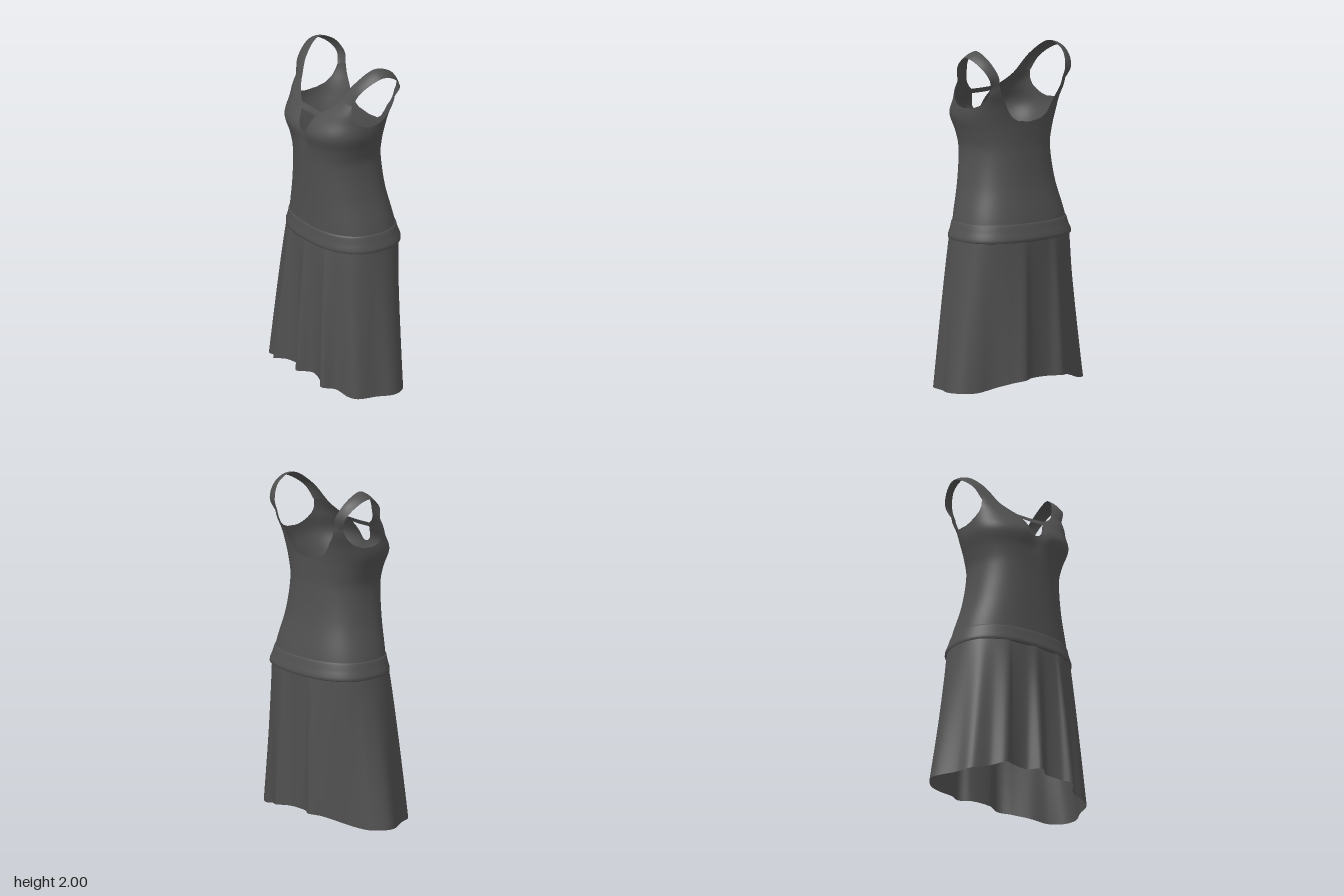
import * as THREE from 'three';

const fabric = new THREE.MeshStandardMaterial({ color: 0x505050, side: THREE.DoubleSide });
fabric.name = 'charcoal fabric';
const V = (x, y, z) => new THREE.Vector3(x, y, z);
const { lerp, smoothstep } = THREE.MathUtils;

// smooth cloth through rows of points, listed bottom to top
function cloth(name, rows, closed = false) {
  const n = rows[0].length, pos = [], index = [];
  rows.forEach(row => row.forEach(p => pos.push(p.x, p.y, p.z)));
  for (let j = 0; j < rows.length - 1; j++) {
    for (let i = 0; i < (closed ? n : n - 1); i++) {
      const a = j * n + i, b = j * n + (i + 1) % n;
      index.push(a, b, b + n, a, b + n, a + n);
    }
  }
  const g = new THREE.BufferGeometry();
  g.setAttribute('position', new THREE.Float32BufferAttribute(pos, 3));
  g.setIndex(index);
  g.computeVertexNormals();
  const mesh = new THREE.Mesh(g, fabric);
  mesh.name = name;
  return mesh;
}

// body sections: height, half width, front z, back z, squareness
const SECTIONS = [
  [0.85, 0.375, 0.235, -0.283, 2.4], [1.0, 0.35, 0.235, -0.262, 2.4],
  [1.2, 0.297, 0.24, -0.22, 2.4], [1.4, 0.272, 0.25, -0.2, 2.4],
  [1.5, 0.292, 0.263, -0.2, 2.4], [1.6, 0.323, 0.283, -0.205, 2.5],
  [1.7, 0.323, 0.222, -0.217, 3], [1.8, 0.312, 0.148, -0.223, 5], [1.9, 0.305, 0.1, -0.22, 5],
];
function section(y) {
  const last = SECTIONS.length - 1;
  let k = 0;
  while (k < last - 1 && y > SECTIONS[k + 1][0]) k++;
  const at = i => SECTIONS[Math.max(0, Math.min(last, i))];
  const p = at(k), q = at(k + 1), h = q[0] - p[0];
  const t = Math.max(0, Math.min(1, (y - p[0]) / h));
  const slope = (i, c) => (at(i + 1)[c] - at(i - 1)[c]) / (at(i + 1)[0] - at(i - 1)[0]);
  return [1, 2, 3, 4].map(c => {
    const m0 = slope(k, c) * h, m1 = slope(k + 1, c) * h, d = q[c] - p[c];
    return p[c] + t * m0 + t * t * (3 * d - 2 * m0 - m1) + t * t * t * (m0 + m1 - 2 * d);
  });
}

// point on the body; angle 0 is the front, positive towards +x
const CX = 0.025;
function body(angle, y, out = 0) {
  const [a, zf, zb, n] = section(y);
  const s = Math.sin(angle), c = Math.cos(angle);
  const x = Math.sign(s) * Math.abs(s) ** (2 / n) * (a + out);
  let z = (zf + zb) / 2 + Math.sign(c) * Math.abs(c) ** (2 / n) * ((zf - zb) / 2 + out);
  // shallow hollow between the busts
  if (c > 0) z -= 0.022 * Math.exp(-((x / 0.06) ** 2) - ((y - 1.6) / 0.1) ** 2);
  return V(CX + x, y, z);
}

// upper edge of the bodice: keyhole, neckline, armhole and low back
const FRONT = [0.3, 0.9], BACK = [2.58, 2.18];
const EDGE = [
  [0, 1.585], [0.03, 1.588], [0.06, 1.605], [0.115, 1.692], [0.12, 1.718], [0.15, 1.73],
  [0.21, 1.763], [0.3, 1.81], [0.9, 1.8], [1.03, 1.752], [1.17, 1.713], [1.32, 1.687],
  [1.45, 1.67], [1.58, 1.658], [1.8, 1.665], [1.98, 1.685], [2.1, 1.72], [2.18, 1.79],
  [2.58, 1.8], [2.63, 1.73], [2.7, 1.66], [2.8, 1.61], [2.92, 1.582], [3.15, 1.57],
];
function edge(angle) {
  const f = Math.abs(angle);
  let k = 0;
  while (k < EDGE.length - 2 && f > EDGE[k + 1][0]) k++;
  const [p, q] = [EDGE[k], EDGE[k + 1]];
  return lerp(p[1], q[1], (f - p[0]) / (q[0] - p[0]));
}

const range = (n, f) => Array.from({ length: n + 1 }, (_, i) => f(i / n));
const ring = (n, f) => Array.from({ length: n }, (_, i) => f(-Math.PI + (2 * Math.PI * i) / n));

// strap from front panel over the shoulder to the back; each pair is neck edge, arm edge
const STRAP = [
  [V(0.245, 1.92, 0.068), V(0.322, 1.89, 0.075)],
  [V(0.285, 1.998, -0.045), V(0.365, 1.965, -0.05)],
  [V(0.288, 1.955, -0.16), V(0.35, 1.925, -0.148)],
  [V(0.26, 1.865, -0.217), V(0.32, 1.855, -0.2)],
];
function strap(name, side) {
  const columns = range(8, t => {
    const f = side * lerp(FRONT[0], FRONT[1], t), b = side * lerp(BACK[0], BACK[1], t);
    const mid = STRAP.map(([p, q]) => {
      const v = p.clone().lerp(q, t);
      return V(CX + side * v.x, v.y + 0.008 * Math.sin(t * Math.PI), v.z);
    });
    return new THREE.CatmullRomCurve3([body(f, edge(f)), ...mid, body(b, edge(b))]).getPoints(40);
  });
  if (side < 0) columns.reverse();
  return cloth(name, columns[0].map((_, j) => columns.map(c => c[j])));
}

// skirt hem outline [x, z] with its pleats
const HEM = [
  [0.515, -0.035], [0.48, 0.06], [0.45, 0.17], [0.4, 0.205], [0.31, 0.23], [0.26, 0.303],
  [0.2, 0.27], [0.1, 0.258], [0.03, 0.318], [-0.04, 0.258], [-0.14, 0.268], [-0.215, 0.303],
  [-0.29, 0.245], [-0.4, 0.208], [-0.44, 0.12], [-0.515, -0.03], [-0.46, -0.12],
  [-0.38, -0.17], [-0.29, -0.225], [-0.19, -0.283], [-0.12, -0.323], [-0.05, -0.287],
  [0.08, -0.283], [0.16, -0.32], [0.23, -0.275], [0.32, -0.21], [0.42, -0.168], [0.49, -0.11],
].reverse();
function skirt() {
  const curve = new THREE.CatmullRomCurve3(HEM.map(([x, z]) => V(x, 0, z)), true);
  const hem = curve.getPoints(224).slice(0, -1);
  const [a, zf, zb, n] = section(0.9), zc = (zf + zb) / 2, b = (zf - zb) / 2;
  const rows = range(24, t => hem.map(p => {
    // waist point in the same direction as the hem point
    const dx = p.x - CX, dz = p.z - zc;
    const r = (Math.abs(dx / (a + 0.008)) ** n + Math.abs(dz / (b + 0.004)) ** n) ** (-1 / n);
    const low = 0.07 * (1 - smoothstep(Math.abs(p.x), 0.12, 0.45));
    return V(lerp(CX + dx * r, p.x, 1 - t), lerp(low, 0.92, t),
      lerp(zc + dz * r, p.z, (1 - t) ** 0.65));
  }));
  return cloth('skirt', rows, true);
}

export function createModel() {
  const dress = new THREE.Group();
  dress.name = 'dress';

  dress.add(cloth('bodice', range(44, t => ring(400, f => body(f, lerp(0.94, edge(f), t)))), true));
  dress.add(cloth('necklineBar', range(2, t =>
    range(12, u => body(lerp(-0.14, 0.14, u), lerp(1.69, 1.72, t))))));
  dress.add(strap('leftStrap', 1), strap('rightStrap', -1));

  // rolled hip band: height, outset
  const BAND = [[0.888, -0.005], [0.878, 0.008], [0.884, 0.017], [0.902, 0.018], [0.925, 0.012],
    [0.95, 0.008], [0.972, 0.006], [0.982, 0.003], [0.985, -0.003]];
  dress.add(cloth('hipBand', BAND.map(([y, out]) => ring(120, f => body(f, y, out))), true));
  dress.add(skirt());
  return dress;
}
